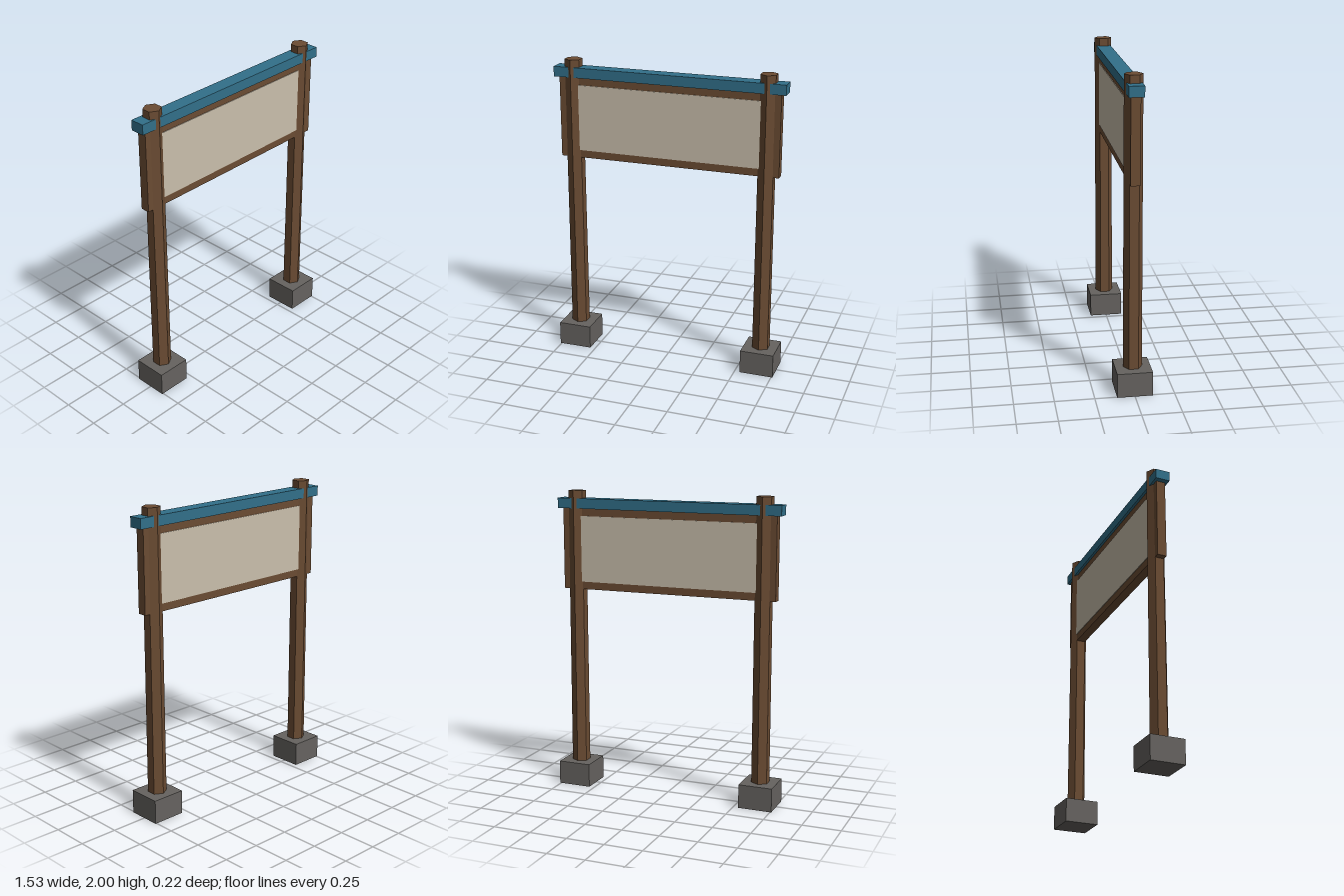
import * as THREE from 'three';

const material = (name, color) => Object.assign(new THREE.MeshStandardMaterial({ color }), { name });

export function createModel() {
  const wood = material('brown wood', 0x6b4c33);
  const paint = material('blue paint', 0x32708a);
  const board = material('beige board', 0xcabfac);
  const concrete = material('grey concrete', 0x666360);

  const model = new THREE.Group();
  model.name = 'signboard';

  const add = (name, geometry, mat, x, y, z = 0) => {
    const mesh = new THREE.Mesh(geometry, mat);
    mesh.name = name;
    mesh.position.set(x, y, z);
    model.add(mesh);
  };

  // Hexagonal posts, slightly tapered, set in square footings
  const post = new THREE.CylinderGeometry(0.057, 0.06, 1.86, 6).toNonIndexed();
  post.computeVertexNormals();
  const footing = new THREE.BoxGeometry(0.223, 0.157, 0.223);
  for (const [side, s] of [['left', 1], ['right', -1]]) {
    add(side + 'Post', post, wood, s * 0.647, 1.07);
    add(side + 'Footing', footing, concrete, s * 0.647, 0.0785);
  }

  // Backing frame with a thin face plate on the front and the back
  add('frame', new THREE.BoxGeometry(1.47, 0.535, 0.06), wood, 0, 1.6175);
  const plate = new THREE.BoxGeometry(1.22, 0.435, 0.006);
  add('frontPanel', plate, board, 0, 1.6175, 0.031);
  add('backPanel', plate, board, 0, 1.6175, -0.031);

  // Painted rail across the top
  add('topRail', new THREE.BoxGeometry(1.534, 0.066, 0.094), paint, 0, 1.917);

  return model;
}
